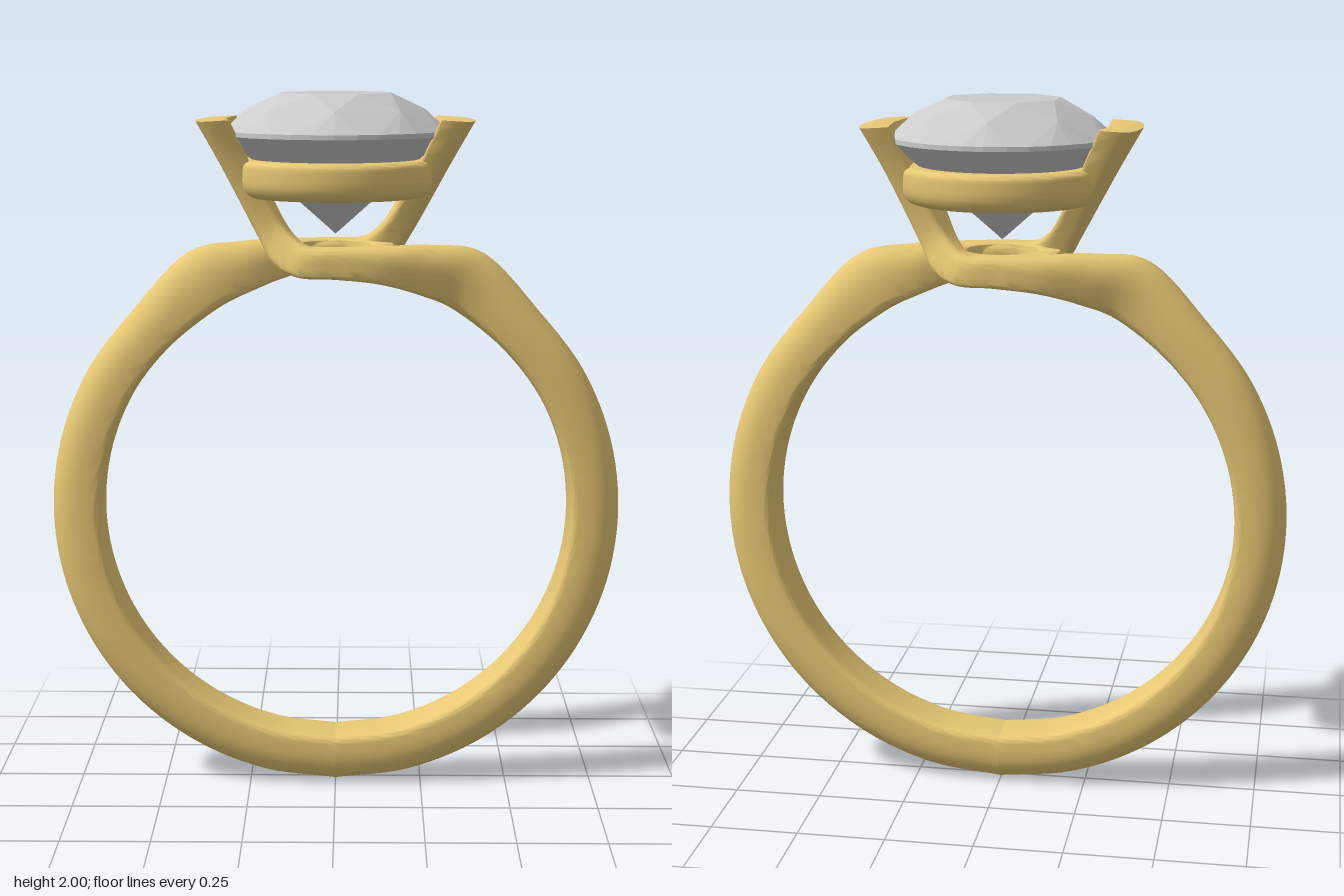
import * as THREE from 'three';
import { toCreasedNormals } from 'three/addons/utils/BufferGeometryUtils.js';
import { ConvexGeometry } from 'three/addons/geometries/ConvexGeometry.js';

const gold = new THREE.MeshStandardMaterial({ color: 0xe8c874 });
const grey = new THREE.MeshStandardMaterial({ color: 0xcccccc, flatShading: true });

// Half of the bypass band: bottom of the shank, up the side, across the front, into the opposite claw.
// Row: inner x, y, outer x, y, z offset, half width, squareness of the outer side, bow of the claw
function bandRows() {
  const rows = [];
  for (let deg = -90; deg <= 45; deg += 15) {
    const a = THREE.MathUtils.degToRad(deg), c = Math.cos(a), s = Math.sin(a);
    rows.push([0.67 * c, 0.815 + 0.67 * s, 0.815 * c, 0.815 + 0.815 * s, 0, 0.08, 2.2, 0]);
  }
  rows.push(
    [0.335, 1.40, 0.42, 1.555, 0.005, 0.08, 2.2, 0],
    [0.23, 1.45, 0.27, 1.583, 0.05, 0.08, 2.4, 0],
    [0.12, 1.485, 0.13, 1.585, 0.11, 0.065, 3, 0],
    [0, 1.50, 0, 1.585, 0.14, 0.05, 4, 0],
    [-0.10, 1.505, -0.07, 1.587, 0.135, 0.052, 4, 0],
    [-0.17, 1.54, -0.11, 1.61, 0.095, 0.062, 5, 0],
    [-0.215, 1.61, -0.15, 1.655, 0.05, 0.08, 6, 0.005],
    [-0.27, 1.71, -0.20, 1.735, 0.02, 0.11, 8, 0.012],
    [-0.33, 1.82, -0.255, 1.832, 0.005, 0.14, 10, 0.02],
    [-0.39, 1.925, -0.305, 1.93, 0, 0.172, 10, 0.027]);
  return rows;
}

function bandGeometry() {
  const rows = bandRows(), steps = (rows.length - 1) * 6, sides = 40;
  const curve = (f) => new THREE.CatmullRomCurve3(rows.map(f), false, 'catmullrom', 0.5);
  const inner = curve((r) => new THREE.Vector3(r[0], r[1], r[4]));
  const outer = curve((r) => new THREE.Vector3(r[2], r[3], r[5]));
  const shape = curve((r) => new THREE.Vector3(r[6], r[7], 0));
  const pos = [], index = [];
  const power = (v, n) => Math.sign(v) * Math.pow(Math.abs(v), 2 / n);
  for (let i = 0; i <= steps; i++) {
    const t = i / steps, p = inner.getPoint(t), q = outer.getPoint(t), s = shape.getPoint(t);
    const dx = q.x - p.x, dy = q.y - p.y, len = Math.hypot(dx, dy);
    for (let j = 0; j < sides; j++) {
      const a = (j / sides) * Math.PI * 2, sn = Math.sin(a);
      const n = sn > 0 ? s.x : 6;
      const u = power(Math.cos(a), n), v = power(sn, n);
      // flat inside, domed outside
      const k = 0.35 + v * (sn > 0 ? 0.65 : 0.35) + (s.y * u * u) / len;
      pos.push(p.x + dx * k, p.y + dy * k, p.z + q.z * u);
    }
  }
  for (let i = 0; i < steps; i++) {
    for (let j = 0; j < sides; j++) {
      const k = (j + 1) % sides, a = i * sides + j, b = i * sides + k;
      index.push(a, b, b + sides, a, b + sides, a + sides);
    }
  }
  // claw tip
  const last = steps * sides;
  pos.push(-0.345, 1.932, 0);
  for (let j = 0; j < sides; j++) index.push(last + sides, last + j, last + (j + 1) % sides);
  const g = new THREE.BufferGeometry();
  g.setAttribute('position', new THREE.Float32BufferAttribute(pos, 3));
  g.setIndex(index);
  return toCreasedNormals(g, 0.7);
}

// Closed ring turned from a rounded profile
function ringGeometry(r0, r1, y0, y1, round) {
  const s = new THREE.Shape();
  s.moveTo(r0, y0);
  s.lineTo(r1 - round, y0);
  s.quadraticCurveTo(r1, y0, r1, y0 + round);
  s.lineTo(r1, y1 - round * 0.4);
  s.quadraticCurveTo(r1, y1, r1 - round * 0.4, y1);
  s.lineTo(r0 + round * 0.4, y1);
  s.quadraticCurveTo(r0, y1, r0, y1 - round * 0.4);
  s.lineTo(r0, y0);
  return toCreasedNormals(new THREE.LatheGeometry(s.getPoints(6), 64), 0.7);
}

// Round brilliant cut: table, crown, girdle and pointed pavilion
function stoneGeometry() {
  const pts = [new THREE.Vector3(0, 1.61, 0)];
  const ring = (n, r, y, turn) => {
    for (let i = 0; i < n; i++) {
      const a = ((i + turn) / n) * Math.PI * 2;
      pts.push(new THREE.Vector3(r * Math.sin(a), y, r * Math.cos(a)));
    }
  };
  ring(8, 0.165, 2.0, 0.5);
  ring(8, 0.25, 1.955, 0);
  ring(32, 0.31, 1.898, 0);
  ring(32, 0.31, 1.885, 0);
  return new ConvexGeometry(pts);
}

export function createModel() {
  const group = new THREE.Group();
  const add = (name, geometry, material) => {
    const mesh = new THREE.Mesh(geometry, material);
    mesh.name = name;
    group.add(mesh);
    return mesh;
  };
  const band = bandGeometry();
  add('bandFrontHalf', band, gold);
  add('bandBackHalf', band, gold).rotation.y = Math.PI;
  add('baseRing', ringGeometry(0.1, 0.165, 1.505, 1.583, 0.02), gold);
  add('galleryRing', ringGeometry(0.18, 0.287, 1.715, 1.82, 0.055), gold);
  add('stone', stoneGeometry(), grey);
  return group;
}
